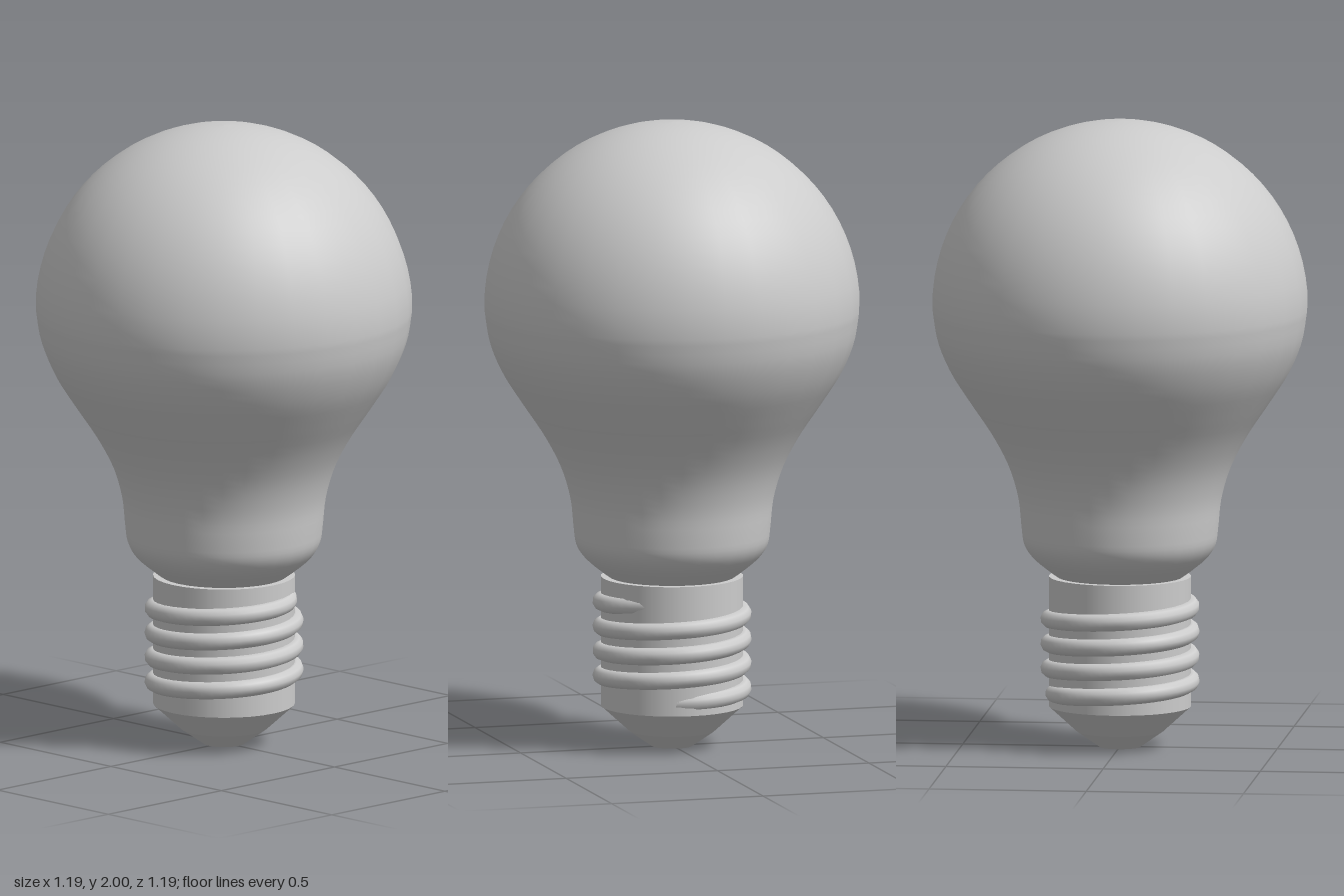
import * as THREE from 'three';

// Helix that sinks into the socket wall at both ends
class ThreadCurve extends THREE.Curve {
  getPoint(t, target = new THREE.Vector3()) {
    const start = THREE.MathUtils.degToRad(-225);
    const end = THREE.MathUtils.degToRad(1080 + 160);
    const a = start + (end - start) * t;
    const fade = Math.min(1, (a - start) / 1.8, (end - a) / 1.2);
    const r = 0.19 + 0.034 * THREE.MathUtils.smoothstep(fade, 0, 1);
    const y = 0.21 + 0.079 * a / (Math.PI * 2);
    return target.set(Math.sin(a) * r, y, Math.cos(a) * r);
  }
}

const points = (list) => list.map(([r, y]) => new THREE.Vector2(r, y));

export function createModel() {
  const group = new THREE.Group();
  const grey = new THREE.MeshStandardMaterial({ color: 0xcccccc });
  grey.name = 'light grey';

  const add = (name, geometry) => {
    const mesh = new THREE.Mesh(geometry, grey);
    mesh.name = name;
    group.add(mesh);
    return mesh;
  };

  // Glass: smooth neck profile running into a round crown
  const neck = new THREE.SplineCurve(points([
    [0.2, 0.545], [0.228, 0.565], [0.275, 0.605], [0.304, 0.65], [0.313, 0.71],
    [0.323, 0.8], [0.353, 0.9], [0.405, 1.0], [0.472, 1.1], [0.536, 1.2],
    [0.578, 1.3], [0.595, 1.4],
  ])).getPoints(40);
  const crown = [];
  for (let i = 1; i <= 20; i++) {
    const a = i / 20 * Math.PI / 2;
    crown.push(new THREE.Vector2(i === 20 ? 0 : 0.597 * Math.cos(a), 1.4 + 0.6 * Math.sin(a)));
  }
  add('glassBulb', new THREE.LatheGeometry([...neck, ...crown], 32));

  // Screw socket: plain sleeve with a rounded helical thread
  const sleeve = add('socketSleeve', new THREE.CylinderGeometry(0.225, 0.225, 0.415, 32));
  sleeve.position.y = 0.3375;
  add('screwThread', new THREE.TubeGeometry(new ThreadCurve(), 200, 0.028, 10, false));

  // Insulator cone and contact tip, each a separate lathe so the rims stay crisp
  add('insulator', new THREE.LatheGeometry(points([[0.137, 0.05], [0.225, 0.13]]), 32));
  add('contactTip', new THREE.LatheGeometry(points([[0.065, 0], [0.137, 0.05]]), 32));
  const contact = add('contactFace', new THREE.CircleGeometry(0.065, 32));
  contact.rotation.x = Math.PI / 2;

  return group;
}
